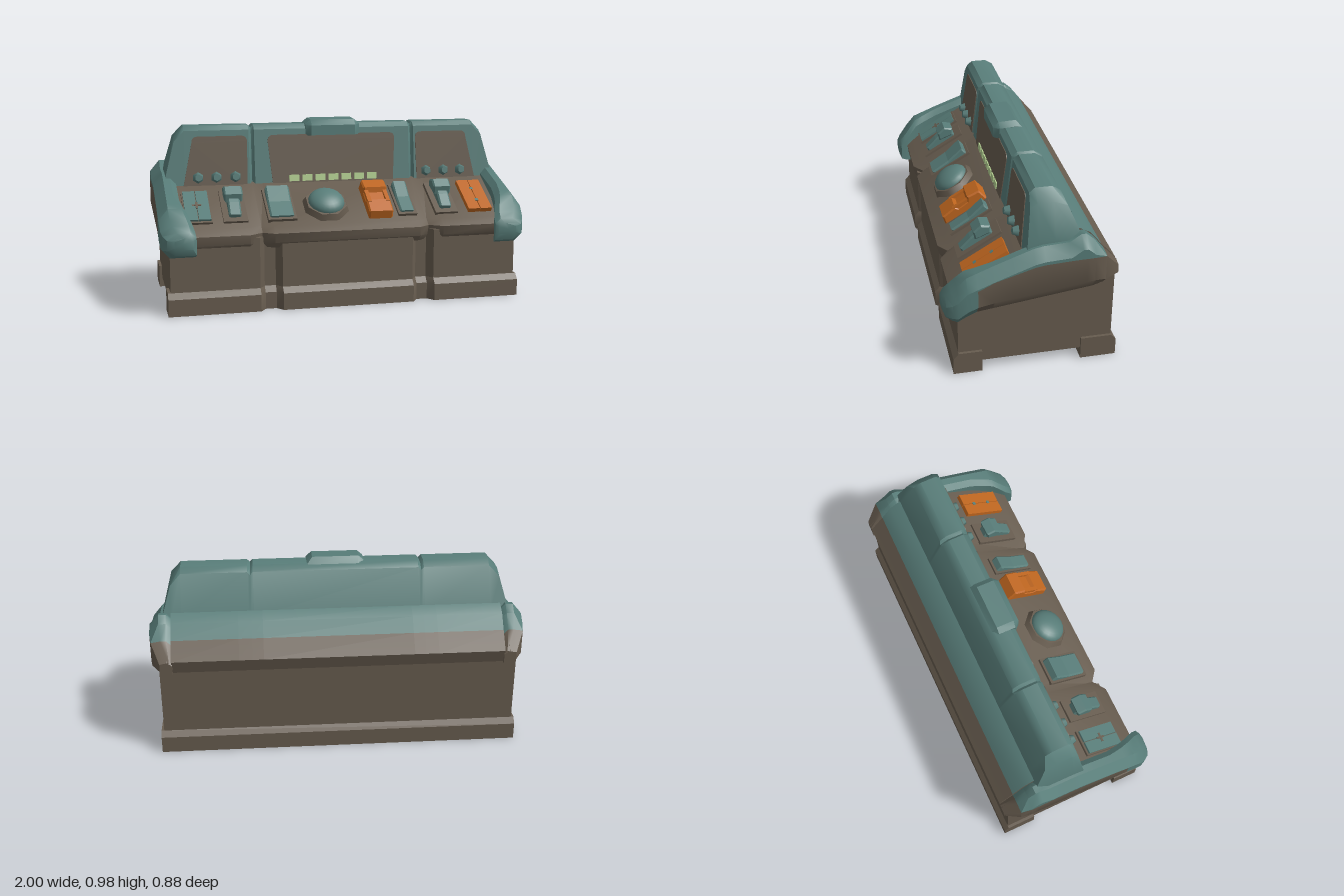
import * as THREE from 'three';
import { toCreasedNormals } from 'three/addons/utils/BufferGeometryUtils.js';

const mat = (name, color) => Object.assign(new THREE.MeshStandardMaterial({ color }), { name });

export function createModel() {
  const teal = mat('teal', 0x587d79), brown = mat('brown', 0x675c4f);
  const orange = mat('orange', 0xbf661f), green = mat('pale green', 0xb3cf90);
  const root = new THREE.Group();
  root.name = 'controlConsole';

  const add = (parent, name, geo, material, x = 0, y = 0, z = 0) => {
    const m = new THREE.Mesh(geo, material);
    m.name = name;
    m.position.set(x, y, z);
    parent.add(m);
    return m;
  };

  // Skin closed rings of [x, y, z]; pick(i, j) is 0 for teal, 1 for brown
  function loft(name, rings, pick, parent = root) {
    const tris = [[], []], n = rings[0].length;
    const quad = (k, a, b, c, d) => tris[k].push([a, b, c], [a, c, d]);
    for (let i = 0; i < rings.length - 1; i++)
      for (let j = 0; j < n; j++) {
        const k = (j + 1) % n;
        quad(pick(i, j), rings[i][j], rings[i][k], rings[i + 1][k], rings[i + 1][j]);
      }
    [[rings[0], true, 0], [rings.at(-1), false, rings.length - 2]].forEach(([r, flip, i]) => {
      const c = [0, 1, 2].map((a) => r.reduce((s, p) => s + p[a], 0) / n);
      r.forEach((p, j) => {
        const q = r[(j + 1) % n];
        tris[pick(i, n - 1)].push(flip ? [c, q, p] : [c, p, q]);
      });
    });
    // Turn the skin outward when its signed volume is negative
    const v = (p) => new THREE.Vector3(...p);
    const vol = tris.flat().reduce((s, [a, b, c]) => s + v(a).dot(v(b).cross(v(c))), 0);
    if (vol < 0) tris.forEach((l) => l.forEach((t) => t.reverse()));
    const geo = new THREE.BufferGeometry();
    geo.setAttribute('position', new THREE.Float32BufferAttribute(tris.flat(3), 3));
    geo.addGroup(0, tris[0].length * 3, 0);
    geo.addGroup(tris[0].length * 3, tris[1].length * 3, 1);
    return add(parent, name, toCreasedNormals(geo, 0.65), [teal, brown]);
  }

  // Mirrored [x, value] stations from left end to right end
  const mirror = (list) => [...list.map(([x, v]) => [-x, v]), ...list.slice().reverse()];

  // Base with two grooves in its front
  const grooves = (end) => mirror([[end, 0], [0.48, 0], [0.45, 0.045], [0.39, 0.045], [0.36, 0]]);
  loft('base', grooves(0.95).map(([x, g]) => [
    [x, 0.055, 0.375 - g], [x, 0.39, 0.375 - g], [x, 0.48, -0.415], [x, 0.055, -0.415],
  ]), () => 1);
  loft('frontFoot', grooves(0.965).map(([x, g]) => [
    [x, 0, 0.255], [x, 0, 0.402 - g], [x, 0.09, 0.402 - g], [x, 0.12, 0.375 - g], [x, 0.12, 0.255],
  ]), () => 1);
  loft('backFoot', [-0.965, 0.965].map((x) => [
    [x, 0, -0.255], [x, 0, -0.44], [x, 0.09, -0.44], [x, 0.12, -0.415], [x, 0.12, -0.255],
  ]), () => 1);

  // Sloping desk and lower back, with notches in the front lip
  const lip = mirror([[0.885, 0], [0.53, 0], [0.46, 0.05], [0.4, 0.005]]);
  loft('desk', lip.map(([x, g]) => [
    [x, 0.33, 0.36 - g], [x, 0.36, 0.385 - g], [x, 0.41, 0.392 - g], [x, 0.44, 0.35 - g],
    [x, 0.635, 0.02], [x, 0.735, -0.235], [x, 0.70, -0.30], [x, 0.628, -0.358],
    [x, 0.54, -0.435], [x, 0.47, -0.415], [x, 0.44, -0.35],
  ]), (i, j) => (j >= 4 && j <= 6 ? 0 : 1));

  // Side arms: z, inner x, outer x, top, bottom, colour edge
  const low = (z) => 0.345 + (0.375 - z) * 0.131;
  const arm = [
    [0.445, 0.835, 0.93, 0.42, 0.36, 0.37], [0.43, 0.815, 0.965, 0.445, 0.325, 0.36],
    [0.40, 0.82, 0.985, 0.475, 0.312, 0.38], [0.375, 0.83, 0.995, 0.505, 0.305, 0.40],
    [0.33, 0.85, 1, 0.555, 0.335, 0.45], [0.28, 0.865, 1, 0.575, low(0.28), 0.505],
    [0.2, 0.88, 1, 0.607, low(0.2), 0.545], [0.1, 0.88, 1, 0.644, low(0.1), 0.575],
    [0, 0.88, 1, 0.68, low(0), 0.605], [-0.05, 0.88, 1, 0.69, low(-0.05), 0.613],
    [-0.18, 0.88, 1, 0.697, low(-0.18), 0.62], [-0.235, 0.88, 1, 0.735, low(-0.235), 0.622],
    [-0.26, 0.88, 1, 0.735, low(-0.26), 0.622], [-0.30, 0.88, 1, 0.70, low(-0.30), 0.623],
    [-0.358, 0.88, 0.99, 0.628, 0.442, 0.62], [-0.435, 0.88, 0.945, 0.54, 0.47, 0.53],
  ];
  for (const s of [1, -1]) {
    loft(s > 0 ? 'leftArm' : 'rightArm', arm.map(([z, xi, xo, yt, yb, ys]) => {
      const h = yt - yb, d = Math.min(0.06, 0.3 * h, yt - ys);
      return [[xi, yb], [xi, yt - Math.min(0.03, 0.3 * h)], [xi + 0.03, yt], [xo - 0.05, yt],
        [xo, yt - d], [xo, Math.min(ys, yt - d)], [xo, yb + Math.min(0.06, 0.25 * h)], [xo - 0.045, yb],
      ].map(([x, y]) => [s * x, y, z]);
    }), (i, j) => (i < 5 ? 0 : i >= 14 ? 1 : j < 5 ? 0 : 1));
  }

  // Upright instrument wall: x, top height, with a shallow seam either side
  const front = (y) => 0.03 - (y - 0.65) * 0.117;
  const back = (y) => -0.155 - (0.925 - y) * 0.43;
  const wall = mirror([[0.935, 0.705], [0.885, 0.89], [0.83, 0.947], [0.475, 0.947],
    [0.46, 0.932], [0.445, 0.947]]);
  loft('instrumentWall', wall.map(([x, t]) => {
    const g = t === 0.932 ? 0.015 : 0;
    return [[x, 0.58, front(0.58) - g], [x, t - 0.025, front(t - 0.025) - g], [x, t, -0.03],
      [x, t, -0.115], [x, t - 0.025, back(t - 0.025)], [x, 0.70, back(0.70)], [x, 0.58, -0.22]];
  }), () => 0);

  // Hood over the middle of the wall
  loft('hood', mirror([[0.155, 0], [0.125, 1]]).map(([x, k]) => {
    const t = 0.95 + 0.025 * k, f = 0.03 * k;
    return [[x, 0.88, -0.02], [x, 0.885, f], [x, 0.94, f], [x, t - 0.005, f * 0.1 - 0.002],
      [x, t, -0.095], [x, 0.94, -0.125], [x, 0.88, -0.1]];
  }), () => 0);

  // Dark screens on the wall, drawn in the wall's own tilted plane
  const face = new THREE.Group();
  face.name = 'wallFace';
  face.position.set(0, 0.6, front(0.6));
  face.rotation.x = -Math.atan(0.117);
  root.add(face);
  const screen = (name, bl, br, tl, tr) => {
    const h = 0.292, r = 0.035, sh = new THREE.Shape();
    sh.moveTo(bl, 0).lineTo(br, 0).lineTo(tr, h - r);
    sh.quadraticCurveTo(tr, h, tr - r, h).lineTo(tl + r, h).quadraticCurveTo(tl, h, tl, h - r);
    add(face, name, new THREE.ExtrudeGeometry(sh, { depth: 0.004, bevelEnabled: false }), brown);
  };
  screen('middleScreen', -0.345, 0.345, -0.37, 0.36);
  screen('rightScreen', -0.845, -0.49, -0.79, -0.485);
  screen('leftScreen', 0.49, 0.845, 0.485, 0.79);

  // Row of indicator lights and the round knobs
  for (let i = 0; i < 7; i++)
    add(face, 'indicatorLight', new THREE.BoxGeometry(0.056, 0.036, 0.009), green, -0.227 + i * 0.0747, 0.05, 0.006);
  for (const x of [-0.76, -0.66, -0.555, 0.545, 0.65, 0.75]) {
    const k = add(face, 'knob', new THREE.CylinderGeometry(0.02, 0.033, 0.035, 6), teal, x, 0.068, 0.016);
    k.rotation.x = Math.PI / 2;
  }

  // Controls stand on a group that lies along the desk slope
  const deck = new THREE.Group();
  deck.name = 'deckControls';
  deck.position.set(0, 0.529, 0.2);
  deck.rotation.x = 0.533;
  root.add(deck);
  const box = (name, m, x, w, h, d, y = 0, z = 0) =>
    add(deck, name, new THREE.BoxGeometry(w, h, d), m, x, y, z);
  const frame = (x, w, d = 0.26) => box('controlFrame', brown, x, w, 0.024, d);
  // Block whose top follows [z, y] points, narrowed at the top
  const block = (name, m, x, w, pts) => {
    const sh = new THREE.Shape(pts.map(([z, y]) => new THREE.Vector2(-z, y)));
    const g = new THREE.ExtrudeGeometry(sh, { depth: w - 0.016, bevelSize: 0.008, bevelThickness: 0.008, bevelSegments: 1 });
    g.translate(0, 0, -(w - 0.016) / 2).rotateY(Math.PI / 2);
    return add(deck, name, g, m, x);
  };

  // Flat switch plates at both ends
  frame(-0.79, 0.145);
  for (const s of [-1, 1]) box('switchPlate', teal, -0.79 + s * 0.034, 0.063, 0.03, 0.235, 0.008);
  box('switchMark', brown, -0.79, 0.05, 0.006, 0.012, 0.022);
  box('switchMark', brown, -0.79, 0.012, 0.006, 0.05, 0.022);
  for (const s of [-1, 1]) {
    box('orangePlate', orange, 0.77 + s * 0.035, 0.066, 0.034, 0.25, 0.008);
    box('orangePlateLamp', teal, 0.77, 0.018, 0.006, 0.018, 0.024, s * 0.05);
  }
  box('orangePlateBed', orange, 0.77, 0.12, 0.026, 0.24, 0.006);

  // Throttle levers
  for (const x of [-0.595, 0.575]) {
    frame(x, 0.13);
    block('lever', teal, x, 0.066, [[0.09, 0], [0.09, 0.025], [0.02, 0.045], [-0.05, 0.06], [-0.08, 0.04], [-0.08, 0]]);
    block('leverGrip', teal, x, 0.1, [[-0.005, 0.045], [-0.015, 0.075], [-0.06, 0.085], [-0.09, 0.06], [-0.075, 0.035]]);
  }

  // Rocker switches
  for (const [x, w] of [[-0.345, 0.155], [0.35, 0.105]]) {
    frame(x, w);
    block('rocker', teal, x, w - 0.025, [[0.105, 0], [0.105, 0.015], [0, 0.02], [-0.1, 0.042], [-0.11, 0]]);
  }

  // Large dome button in an eight-sided collar
  add(deck, 'domeCollar', new THREE.CylinderGeometry(0.115, 0.135, 0.04, 8).rotateY(Math.PI / 8), brown, -0.09, 0.01, 0.02);
  const dome = add(deck, 'domeButton', new THREE.SphereGeometry(0.1, 20, 8, 0, Math.PI * 2, 0, Math.PI / 2), teal, -0.09, 0.028, 0.02);
  dome.scale.y = 0.55;

  // Tall orange switch with a stepped top
  block('orangeSwitch', orange, 0.195, 0.135, [[0.135, -0.01], [0.125, 0.035], [0.05, 0.045], [0.035, 0.03],
    [-0.03, 0.035], [-0.045, 0.06], [-0.105, 0.055], [-0.12, -0.01]]);
  for (const s of [-1, 1]) box('orangeSwitchRail', orange, 0.195 + s * 0.052, 0.022, 0.05, 0.12, 0.03);

  return root;
}
